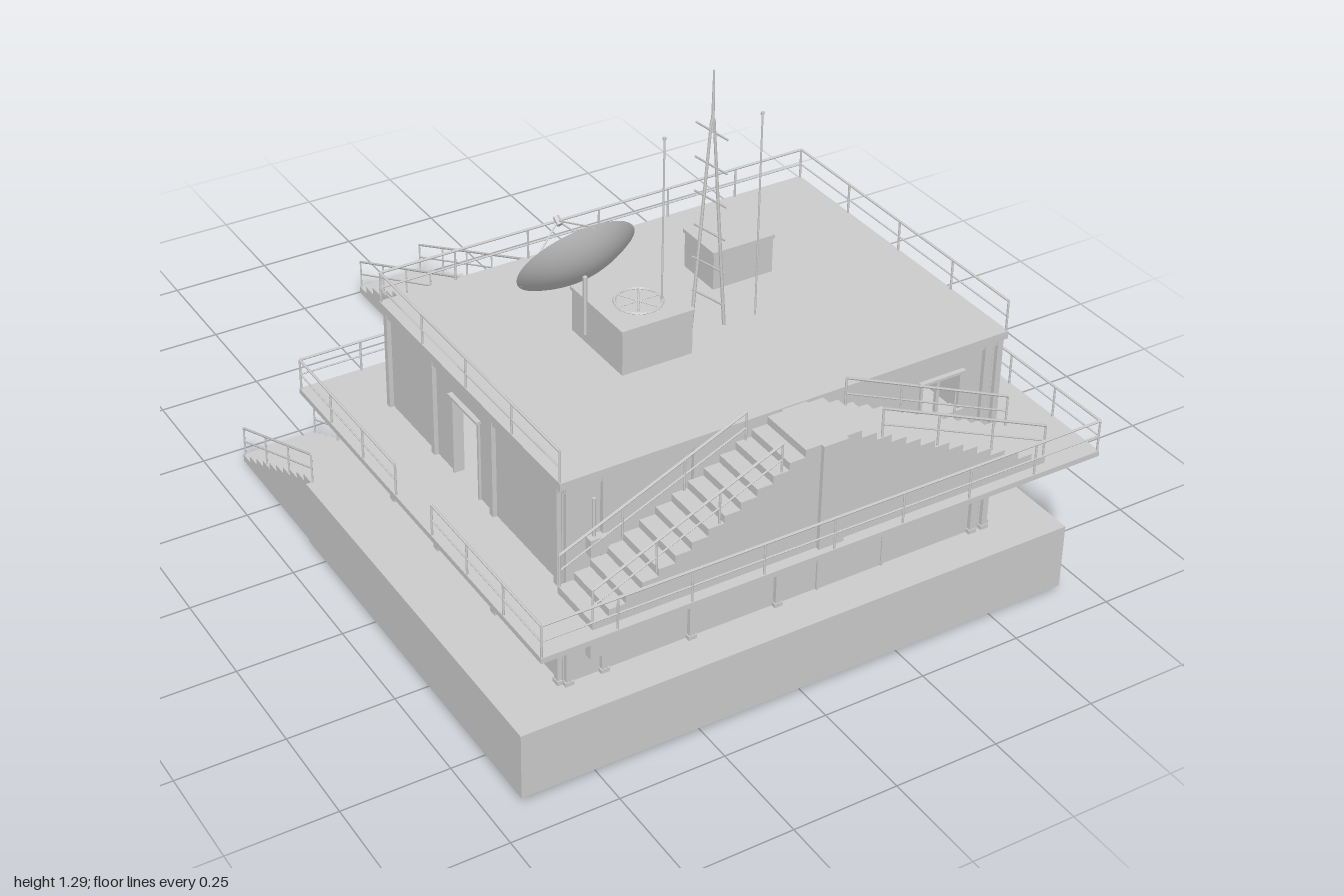
import * as THREE from 'three';

const mat = new THREE.MeshStandardMaterial({ color: 0xcccccc, flatShading: true });
const smooth = new THREE.MeshStandardMaterial({ color: 0xcccccc, side: THREE.DoubleSide });
const V = (x, y, z) => new THREE.Vector3(x, y, z);

function add(parent, geo, name, m = mat) {
  const mesh = new THREE.Mesh(geo, m);
  mesh.name = name;
  parent.add(mesh);
  return mesh;
}

function group(parent, name) {
  const g = new THREE.Group();
  g.name = name;
  parent.add(g);
  return g;
}

// Box given by its limits on each axis
function box(parent, name, x0, x1, y0, y1, z0, z1) {
  const b = add(parent, new THREE.BoxGeometry(x1 - x0, y1 - y0, z1 - z0), name);
  b.position.set((x0 + x1) / 2, (y0 + y1) / 2, (z0 + z1) / 2);
  return b;
}

// Round bar between two points
function bar(parent, name, a, b, r = 0.0025, r2 = r) {
  const d = b.clone().sub(a);
  const m = add(parent, new THREE.CylinderGeometry(r2, r, d.length(), 6), name);
  m.position.copy(a).addScaledVector(d, 0.5);
  m.quaternion.setFromUnitVectors(V(0, 1, 0), d.normalize());
}

// Posts with a top and a middle rail along a path of floor points
function railing(parent, name, pts, spacing = 0.15, h = 0.075) {
  const g = group(parent, name);
  const up = (p, k) => p.clone().setY(p.y + k * h);
  for (let i = 0; i + 1 < pts.length; i++) {
    const a = pts[i], b = pts[i + 1];
    bar(g, 'topRail', up(a, 1), up(b, 1), 0.003);
    bar(g, 'midRail', up(a, 0.5), up(b, 0.5), 0.002);
    const n = Math.max(1, Math.round(a.distanceTo(b) / spacing));
    for (let k = 0; k <= n; k++) {
      const p = a.clone().lerp(b, k / n);
      bar(g, 'post', p, up(p, 1));
    }
  }
}

// Solid flight that descends along local +x from y = top to y = bottom
function stairs(parent, name, n, run, top, bottom, width, railStart = 0) {
  const g = group(parent, name);
  const s = new THREE.Shape();
  const rise = (top - bottom) / n, tread = run / n;
  s.moveTo(0, bottom);
  s.lineTo(run, bottom);
  for (let i = n; i > 0; i--) {
    s.lineTo(i * tread, bottom + (n - i + 1) * rise);
    s.lineTo((i - 1) * tread, bottom + (n - i + 1) * rise);
  }
  const geo = new THREE.ExtrudeGeometry(s, { depth: width, bevelEnabled: false });
  add(g, geo.translate(0, 0, -width / 2), 'steps');
  if (railStart !== null) for (const side of [-1, 1]) {
    const z = side * (width / 2 - 0.004);
    const y = top - (top - bottom) * railStart / run;
    railing(g, 'handrail', [V(railStart, y, z), V(run - 0.003, bottom + rise, z)], 0.14);
  }
  return g;
}

// Wall facing local +z; openings are [kind, u0, u1, y0, y1]
function wall(parent, name, width, openings, pilasters) {
  const g = group(parent, name);
  const w = width / 2, y0 = 0.18, y1 = 0.67, t = 0.02;
  const s = new THREE.Shape([[-w, y0], [w, y0], [w, y1], [-w, y1]].map(p => new THREE.Vector2(...p)));
  for (const [kind, a, b, c, d] of openings) {
    if (kind !== 'door') {
      // keep the hole just inside the outline
      const lo = Math.max(c, y0 + 0.002);
      s.holes.push(new THREE.Path([[a, lo], [a, d], [b, d], [b, lo]].map(p => new THREE.Vector2(...p))));
    }
    const f = 0.006, out = t + 0.005;
    box(g, 'jamb', a - f, a, c, d, 0, out);
    box(g, 'jamb', b, b + f, c, d, 0, out);
    box(g, 'lintel', a - f * 1.6, b + f * 1.6, d, d + f, 0, out + 0.006);
    if (kind === 'window') {
      box(g, 'sill', a - f * 1.6, b + f * 1.6, c - f, c, 0, out + 0.006);
      box(g, 'mullion', (a + b) / 2 - 0.004, (a + b) / 2 + 0.004, c, d, 0.006, 0.014);
    }
    if (kind === 'door') {
      box(g, 'doorLeaf', a, b, c, d, t, t + 0.002);
      box(g, 'doorHandle', b - 0.018, b - 0.012, c + 0.08, c + 0.1, t, t + 0.008);
    }
  }
  add(g, new THREE.ExtrudeGeometry(s, { depth: t, bevelEnabled: false }), 'panel');
  for (const u of pilasters) {
    box(g, 'pilaster', u - 0.007, u + 0.007, y0, y1, t, t + 0.01);
    box(g, 'pilasterFoot', u - 0.01, u + 0.01, y0, y0 + 0.01, t, t + 0.012);
  }
  box(g, 'cornice', -w, w, 0.655, 0.668, t, t + 0.008);
  return g;
}

function buildHouse(root) {
  const house = group(root, 'house');
  const upper = [0.525, 0.615], lower = [0.272, 0.365];
  const front = wall(house, 'frontWall', 1.06, [
    ['window', 0.33, 0.425, ...upper], ['window', 0.33, 0.425, ...lower], ['door', 0.09, 0.25, 0.18, 0.37],
  ], [-0.52, -0.437, -0.228, -0.016, 0.49, 0.522]);
  front.position.z = 0.805;
  const back = wall(house, 'backWall', 1.06, [
    ['window', -0.425, -0.33, ...upper], ['window', -0.425, -0.33, ...lower],
    ['window', -0.265, -0.17, ...upper], ['door', -0.08, 0.08, 0.43, 0.62],
  ], [-0.522, -0.3, -0.13, 0.13, 0.3, 0.437, 0.522]);
  back.rotation.y = Math.PI;
  back.position.z = 0.1;
  const left = wall(house, 'leftWall', 0.745, [
    ['window', -0.305, -0.215, 0.52, 0.625], ['window', -0.305, -0.215, 0.265, 0.375],
    ['opening', -0.085, 0.07, 0.43, 0.62], ['opening', -0.085, 0.07, 0.18, 0.37],
  ], [-0.362, -0.1, 0.155, 0.362]);
  left.rotation.y = Math.PI / 2;
  left.position.set(0.51, 0, 0.453);
  const right = wall(house, 'rightWall', 0.745, [
    ['opening', -0.07, 0.035, 0.43, 0.62], ['opening', -0.07, 0.035, 0.18, 0.37],
  ], [-0.362, -0.155, 0.1, 0.362]);
  right.rotation.y = -Math.PI / 2;
  right.position.set(-0.51, 0, 0.453);
  box(house, 'roof', -0.54, 0.54, 0.665, 0.683, 0.065, 0.835);
  railing(house, 'roofRailing', [V(0.537, 0.68, 0.83), V(0.537, 0.68, 0.07), V(-0.537, 0.68, 0.07), V(-0.537, 0.68, 0.83)], 0.18);
  // Junction boxes and conduits by the corner
  for (const [y, h] of [[0.235, 0.055], [0.49, 0.04]]) {
    box(house, 'junctionBox', -0.477, -0.434, y, y + h, 0.825, 0.845);
    bar(house, 'conduit', V(-0.462, y + h, 0.832), V(-0.462, y + h + 0.09, 0.832), 0.004);
  }
  // Inner flight between the floors
  const inner = stairs(house, 'innerStairs', 14, 0.54, 0.42, 0.18, 0.12, null);
  inner.rotation.y = Math.PI / 2;
  inner.position.set(0, 0, 0.7);
}

function buildTerraces(root) {
  box(root, 'base', -0.68, 0.68, 0.02, 0.18, -0.06, 0.92);
  const balcony = group(root, 'balcony');
  box(balcony, 'deck', -0.677, 0.677, 0.417, 0.43, -0.07, 1);
  box(balcony, 'deckBeam', -0.665, 0.665, 0.4, 0.417, -0.05, 0.9);
  for (const s of [-1, 1]) {
    const x = s * 0.674;
    railing(balcony, 'balconyRailing', [V(s * 0.09, 0.43, -0.066), V(x, 0.43, -0.066), V(x, 0.43, 0.39)]);
    railing(balcony, 'balconyRailing', [V(x, 0.43, 0.55), V(x, 0.43, 0.996), V(0, 0.43, 0.996)]);
    for (const k of [0.13, 0.3, 0.52]) bar(balcony, 'brace', V(s * k, 0.32, 0.075), V(s * k, 0.402, -0.045), 0.004);
  }
  // Back flights from the ground
  for (const s of [-1, 1]) {
    const f = stairs(root, 'sideStairs', 10, 0.39, 0.18, 0.003, 0.19);
    f.rotation.y = Math.PI / 2;
    f.position.set(s * 0.573, 0, -0.06);
  }
  const main = stairs(root, 'mainStairs', 24, 0.94, 0.43, 0, 0.18);
  main.rotation.y = Math.PI / 2;
  main.position.z = -0.06;
  // Twin front flights up to the roof
  for (const s of [-1, 1]) {
    const f = stairs(root, 'roofStairs', 14, 0.52, 0.68, 0.43, 0.135, 0.09);
    f.rotation.y = s > 0 ? 0 : Math.PI;
    f.position.set(s * 0.03, 0, 0.908);
  }
  box(root, 'roofLanding', -0.03, 0.03, 0.43, 0.68, 0.82, 0.985);
}

function buildRoofGear(root) {
  const gear = group(root, 'roofGear');
  // Ventilation units with fan ring and louvres
  for (const [x0, x1, y1, z0, z1] of [[-0.243, -0.075, 0.787, 0.37, 0.573], [0.097, 0.248, 0.773, 0.27, 0.385]]) {
    box(gear, 'ventUnit', x0, x1, 0.68, y1, z0, z1);
    box(gear, 'ventLid', x0 - 0.003, x1 + 0.003, y1 - 0.006, y1 + 0.003, z0 - 0.003, z1 + 0.003);
    for (let y = 0.7; y < y1 - 0.02; y += 0.014) box(gear, 'louvre', x0 + 0.015, x1 - 0.015, y, y + 0.004, z0 - 0.003, z0);
  }
  const fan = add(gear, new THREE.TorusGeometry(0.05, 0.004, 6, 24), 'fanRing');
  fan.rotation.x = Math.PI / 2;
  fan.position.set(-0.155, 0.791, 0.49);
  for (let i = 0; i < 3; i++) {
    const a = i * Math.PI / 3, c = 0.05 * Math.cos(a), d = 0.05 * Math.sin(a);
    bar(gear, 'fanGuard', V(-0.155 - c, 0.791, 0.49 - d), V(-0.155 + c, 0.791, 0.49 + d));
  }
  // Flat lattice mast with slanted rungs
  const mast = group(gear, 'mast');
  for (const s of [-1, 1]) bar(mast, 'mastLeg', V(s * 0.042, 0.68, 0.513), V(s * 0.003, 1.18, 0.513), 0.004, 0.003);
  bar(mast, 'mastTip', V(0, 1.15, 0.513), V(0, 1.29, 0.513), 0.004, 0.002);
  for (let i = 0; i < 6; i++) {
    const y = 1.185 - i * 0.078;
    bar(mast, 'mastRung', V(-0.04, y, 0.513), V(0.038, y - 0.063, 0.513), 0.0025);
  }
  // Whip antennas
  for (const [x, y0, y1] of [[-0.113, 0.785, 1.17], [0.12, 0.68, 1.165]]) {
    bar(gear, 'antenna', V(x, y0, 0.513), V(x, y1, 0.513), 0.002);
    bar(gear, 'antennaTip', V(x, y1 - 0.006, 0.513), V(x, y1, 0.513), 0.004);
  }
  // Dish, local +y is the direction it faces
  const dish = group(gear, 'dish');
  const profile = [];
  for (let i = 0; i <= 10; i++) {
    const r = i / 10;
    profile.push(new THREE.Vector2(r * 0.13, 0.04 * (r * r - 1)));
  }
  add(dish, new THREE.LatheGeometry(profile, 40), 'reflector', smooth);
  const feed = V(0, 0.085, 0);
  for (let i = 0; i < 3; i++) {
    const a = Math.PI / 2 + i * Math.PI * 2 / 3;
    bar(dish, 'feedStrut', V(0.125 * Math.cos(a), -0.003, 0.125 * Math.sin(a)), feed, 0.002);
  }
  bar(dish, 'feedHorn', V(0, 0.075, 0), V(0, 0.095, 0), 0.007);
  dish.quaternion.setFromUnitVectors(V(0, 1, 0), V(0, 0.55, -0.835).normalize());
  dish.position.set(-0.305, 0.943, 0.493);
  bar(gear, 'dishPole', V(-0.305, 0.78, 0.53), V(-0.305, 0.915, 0.53), 0.005);
}

export function createModel() {
  const root = new THREE.Group();
  root.name = 'outpostBuilding';
  buildTerraces(root);
  buildHouse(root);
  buildRoofGear(root);
  return root;
}
